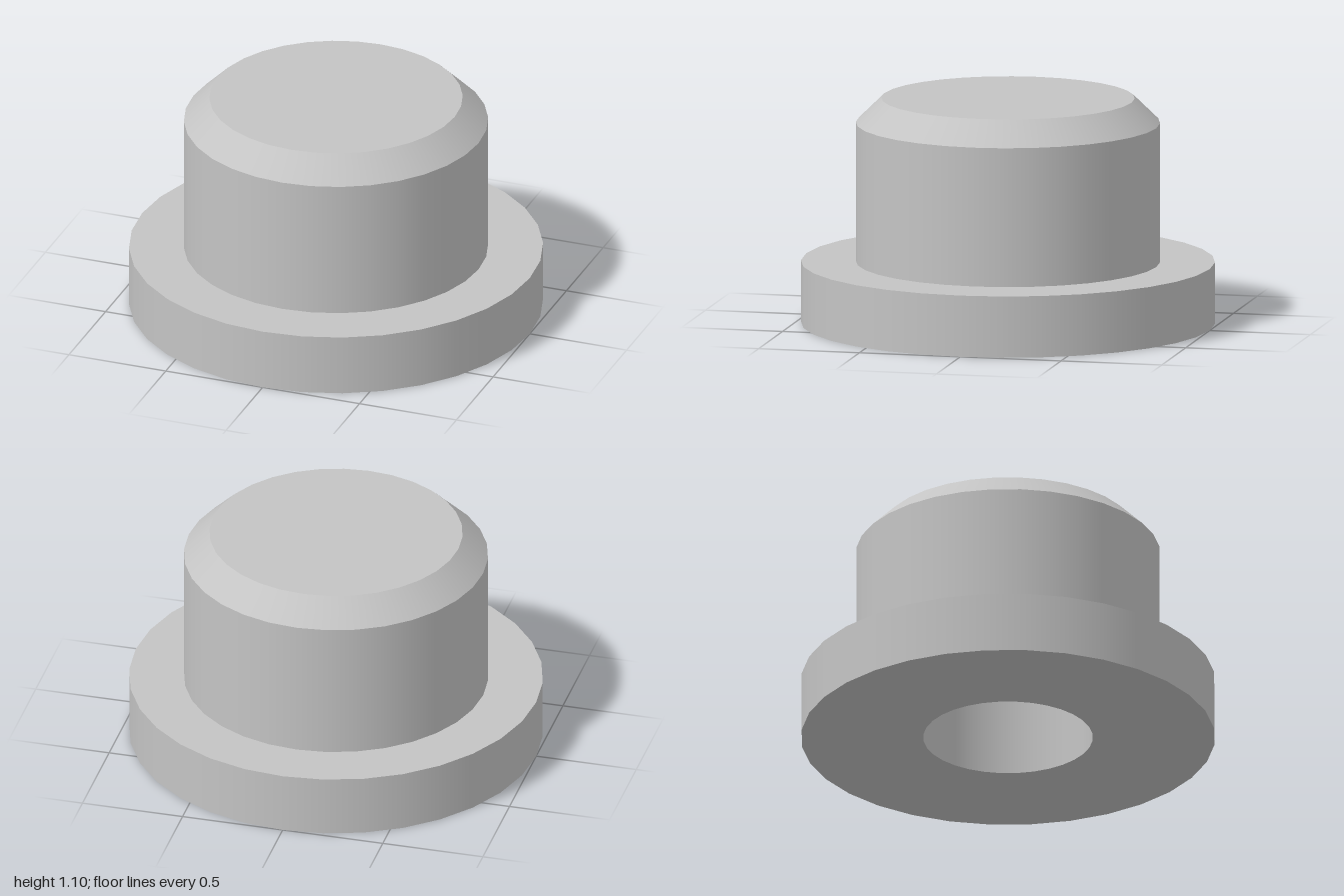
import * as THREE from 'three';

const SIDES = 32;

export function createModel() {
  const group = new THREE.Group();
  group.name = 'flangedPlug';

  const grey = new THREE.MeshStandardMaterial({ color: 0xc4c4c4 });
  grey.name = 'grey';

  // One turned surface per straight run, so edges between runs stay sharp.
  const turn = (name, r0, y0, r1, y1) => {
    const points = [new THREE.Vector2(r0, y0), new THREE.Vector2(r1, y1)];
    const mesh = new THREE.Mesh(new THREE.LatheGeometry(points, SIDES), grey);
    mesh.name = name;
    group.add(mesh);
  };

  // Blind bore in the underside
  turn('boreEnd', 0, 0.8, 0.41, 0.8);
  turn('boreWall', 0.41, 0.8, 0.41, 0);

  // Flange
  turn('flangeUnderside', 0.41, 0, 1, 0);
  turn('flangeRim', 1, 0, 1, 0.3);
  turn('flangeTop', 1, 0.3, 0.735, 0.3);

  // Body with chamfered top
  turn('bodyWall', 0.735, 0.3, 0.735, 0.98);
  turn('bodyChamfer', 0.735, 0.98, 0.612, 1.1);
  turn('bodyTop', 0.612, 1.1, 0, 1.1);

  return group;
}
